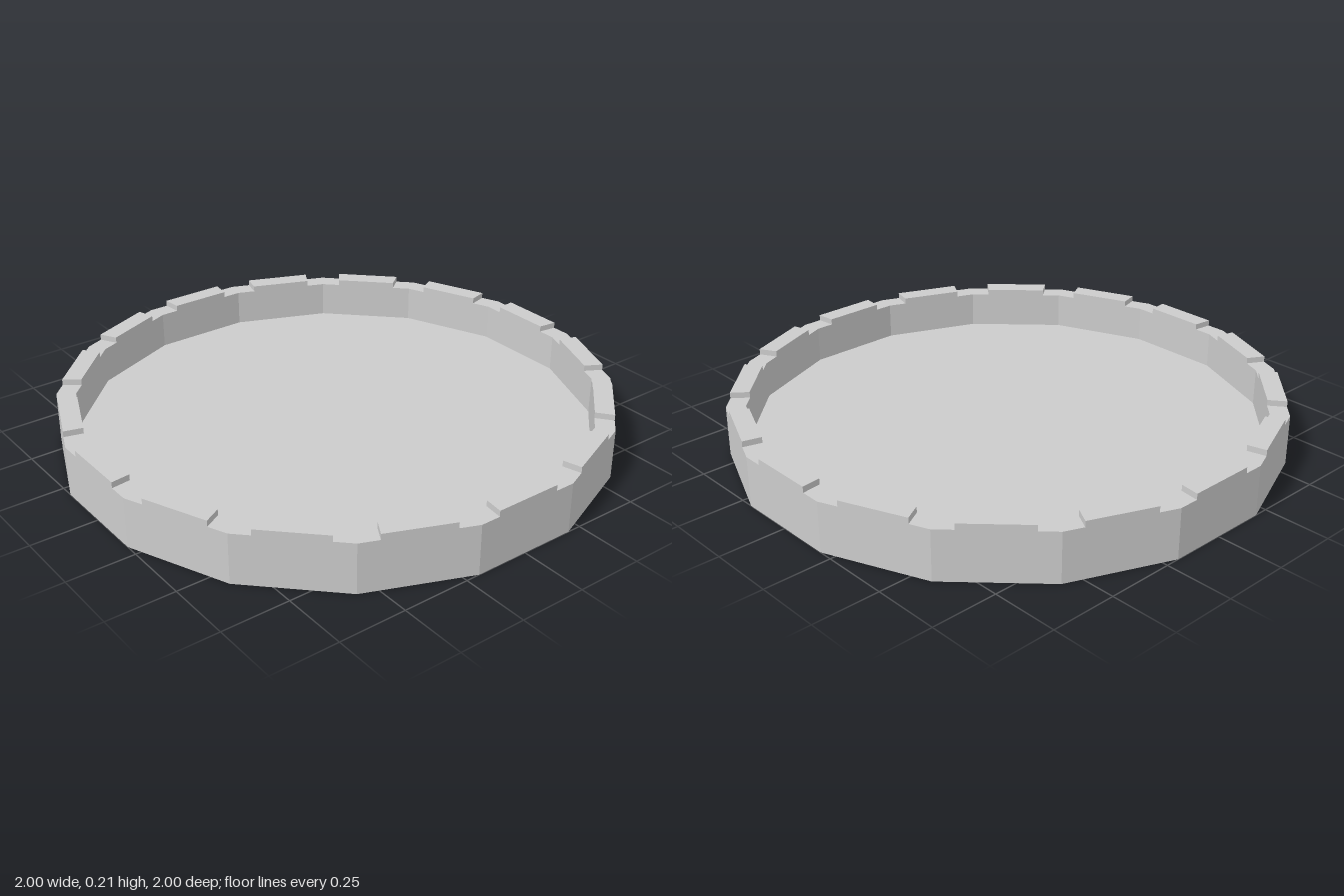
import * as THREE from 'three';

const SIDES = 16;
const OUTER = 1.0, INNER = 0.93;          // distances from centre to the flats
const FLOOR = 0.05, RIM = 0.187, TOP = 0.209;

export function createModel() {
  const model = new THREE.Group();
  const material = new THREE.MeshStandardMaterial({ color: 0xcccccc, flatShading: true });

  // Sixteen-sided tray: base, outer wall, rim, inner wall and floor
  const toCorner = 1 / Math.cos(Math.PI / SIDES);
  const profile = [
    [0, 0], [OUTER * toCorner, 0], [OUTER * toCorner, RIM],
    [INNER * toCorner, RIM], [INNER * toCorner, FLOOR], [0, FLOOR],
  ].map(([x, y]) => new THREE.Vector2(x, y));
  const tray = new THREE.Mesh(new THREE.LatheGeometry(profile, SIDES, Math.PI / SIDES), material);
  tray.name = 'tray';
  model.add(tray);

  // One raised block in the middle of each side, with radial ends
  const slope = 0.125;
  const outline = new THREE.Shape([
    [-slope * INNER, INNER], [slope * INNER, INNER],
    [slope * OUTER, OUTER], [-slope * OUTER, OUTER],
  ].map(([x, y]) => new THREE.Vector2(x, y)));
  const block = new THREE.ExtrudeGeometry(outline, { depth: TOP - RIM, bevelEnabled: false });
  block.rotateX(-Math.PI / 2);
  block.translate(0, RIM, 0);

  const rimBlocks = new THREE.Group();
  rimBlocks.name = 'rimBlocks';
  for (let i = 0; i < SIDES; i++) {
    const mesh = new THREE.Mesh(block, material);
    mesh.name = 'rimBlock';
    mesh.rotation.y = (i * 2 * Math.PI) / SIDES;
    rimBlocks.add(mesh);
  }
  model.add(rimBlocks);

  return model;
}
